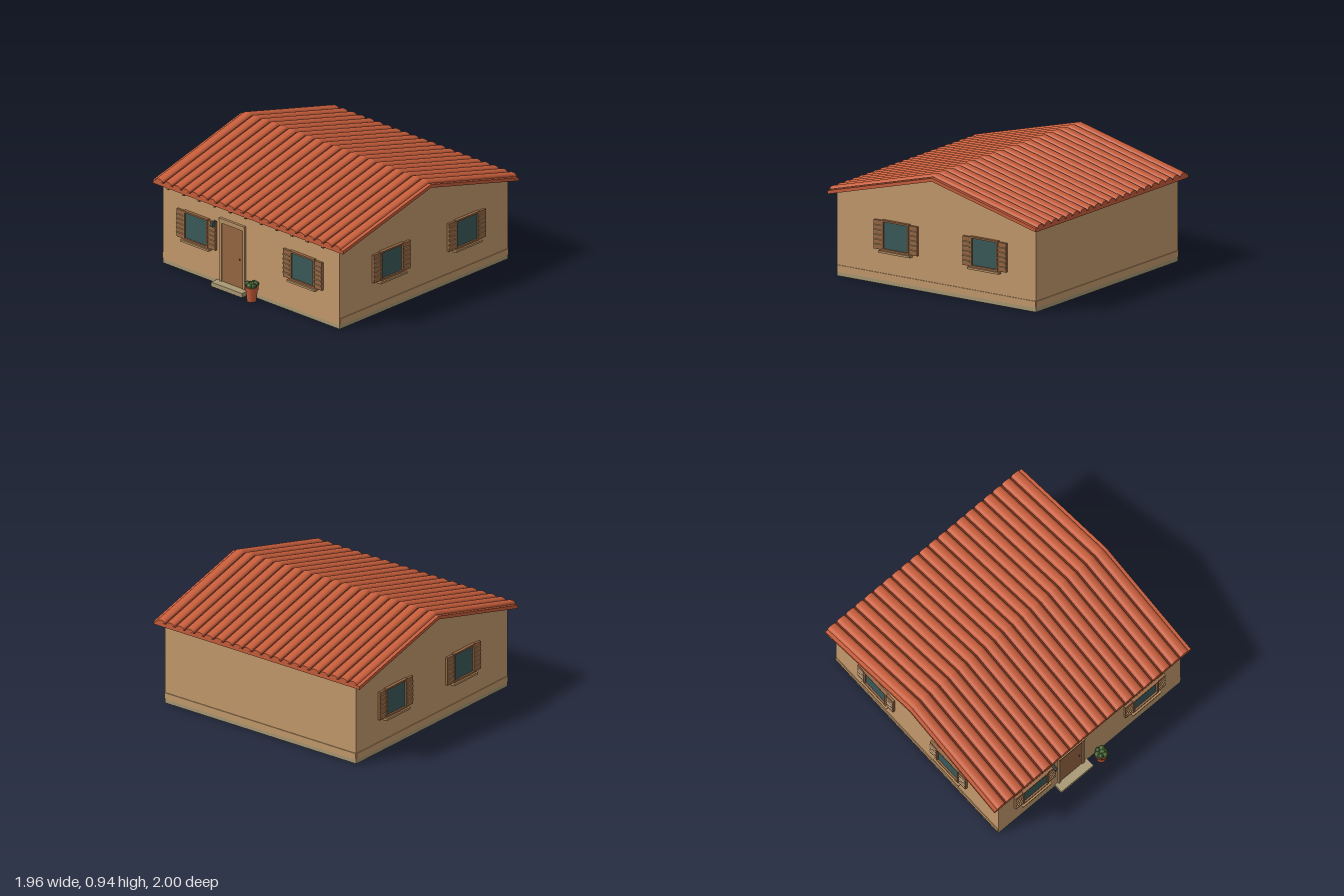
import * as THREE from 'three';
import { toCreasedNormals } from 'three/addons/utils/BufferGeometryUtils.js';

const mat = (name, color) => {
  const m = new THREE.MeshStandardMaterial({ color });
  m.name = name;
  return m;
};

export function createModel() {
  const wall = mat('stucco', 0xc49a6c);
  const stone = mat('stone', 0xa89874);
  const tile = mat('terracotta', 0xc65d3b);
  const darkTile = mat('tile shadow gap', 0x6b2e1c);
  const wood = mat('wood', 0x966642);
  const trim = mat('light wood', 0xb58d62);
  const glass = mat('glass', 0x3a5a5a);
  const metal = mat('metal', 0x4a4a46);
  const leaf = mat('leaf', 0x4a6b35);
  const darkLeaf = mat('dark leaf', 0x36522a);

  const model = new THREE.Group();
  model.name = 'house';

  const add = (parent, name, geo, material, x = 0, y = 0, z = 0) => {
    const m = new THREE.Mesh(geo, material);
    m.name = name;
    m.position.set(x, y, z);
    parent.add(m);
    return m;
  };
  // box given by its limits
  const box = (parent, name, material, x0, x1, y0, y1, z0, z1) =>
    add(parent, name, new THREE.BoxGeometry(x1 - x0, y1 - y0, z1 - z0), material,
      (x0 + x1) / 2, (y0 + y1) / 2, (z0 + z1) / 2);
  // outline of [z, y] points extruded along x, centred
  const extrudeX = (points, width) => {
    const shape = new THREE.Shape(points.map(([z, y]) => new THREE.Vector2(-z, y)));
    const geo = new THREE.ExtrudeGeometry(shape, { depth: width, bevelEnabled: false });
    geo.translate(0, 0, -width / 2);
    return geo.rotateY(Math.PI / 2);
  };

  const front = 0.88, back = -0.95, side = 0.91, ridgeZ = -0.04, slope = 0.255, run = 0.957;

  // Walls, plinth and the low band around sides and back
  add(model, 'walls', extrudeX([[front, 0.03], [front, 0.655], [ridgeZ, 0.895], [back, 0.655], [back, 0.03]], side * 2), wall);
  box(model, 'plinth', stone, -side, side, 0, 0.03, back, front);
  for (const s of [-1, 1]) box(model, 'sideBand', wall, s * side - 0.006, s * side + 0.006, 0.04, 0.085, back, front - 0.002);
  box(model, 'backBand', wall, -side, side, 0.04, 0.085, back - 0.006, back);

  // Roof deck with a terracotta edge
  const eave = 0.885 - slope * run;
  add(model, 'roofDeck', extrudeX([
    [ridgeZ + run, eave], [ridgeZ + run, eave + 0.027], [ridgeZ, 0.912],
    [ridgeZ - run, eave + 0.027], [ridgeZ - run, eave], [ridgeZ, 0.885],
  ], 1.96), tile);

  // Barrel tiles: an arched section drawn down the slope
  const pitch = 0.0915, count = 21;
  const drawDownSlope = (shape, length) => {
    const geo = new THREE.ExtrudeGeometry(shape, { depth: length, bevelEnabled: false, curveSegments: 10 });
    const p = geo.attributes.position;
    for (let i = 0; i < p.count; i++) p.setY(i, p.getY(i) - slope * p.getZ(i));
    geo.computeVertexNormals();
    return toCreasedNormals(geo, 0.6);
  };
  const arch = new THREE.Shape();
  arch.moveTo(0.039, -0.004);
  arch.absellipse(0, 0.004, 0.039, 0.021, 0, Math.PI, false, 0);
  arch.lineTo(-0.039, -0.004);
  const gap = new THREE.Shape([[-0.007, -0.002], [0.007, -0.002], [0.007, 0.002], [-0.007, 0.002]]
    .map(([x, y]) => new THREE.Vector2(x, y)));
  const barrelGeo = drawDownSlope(arch, run + 0.002);
  const gapGeo = drawDownSlope(gap, run);
  for (const turn of [0, Math.PI]) {
    const half = new THREE.Group();
    half.name = turn ? 'backRoofTiles' : 'frontRoofTiles';
    half.position.set(0, 0.912, ridgeZ);
    half.rotation.y = turn;
    for (let i = 0; i < count; i++) {
      const x = (i - (count - 1) / 2) * pitch;
      add(half, 'barrelTile', barrelGeo, tile, x);
      if (i < count - 1) add(half, 'tileGap', gapGeo, darkTile, x + pitch / 2);
    }
    model.add(half);
  }

  // Rafter tails under the front eave
  for (let i = 0; i < 11; i++) {
    const x = -0.835 + i * 0.1597;
    box(model, 'rafterTail', wood, x - 0.01, x + 0.01, 0.627, 0.65, front - 0.01, front + 0.033);
  }

  // Shuttered window, facing +z with its wall plane at z = 0
  const makeWindow = (x, z, turn) => {
    const w = new THREE.Group();
    w.name = 'window';
    w.position.set(x, 0, z);
    w.rotation.y = turn;
    for (const s of [-1, 1]) {
      box(w, 'frameSide', wood, s * 0.119 - 0.007, s * 0.119 + 0.007, 0.267, 0.502, -0.005, 0.025);
      box(w, 'shutter', wood, s * 0.163 - 0.037, s * 0.163 + 0.037, 0.27, 0.495, -0.005, 0.02);
      for (let i = 0; i < 5; i++) {
        const slat = box(w, 'shutterSlat', trim, s * 0.163 - 0.034, s * 0.163 + 0.034,
          0.299 + i * 0.037, 0.311 + i * 0.037, 0.012, 0.026);
        slat.rotation.x = 0.35;
      }
    }
    box(w, 'frameTop', wood, -0.126, 0.126, 0.489, 0.502, -0.005, 0.026);
    box(w, 'frameBottom', wood, -0.126, 0.126, 0.265, 0.28, -0.005, 0.026);
    box(w, 'glass', glass, -0.113, 0.113, 0.279, 0.49, 0.004, 0.012);
    box(w, 'sill', trim, -0.143, 0.143, 0.25, 0.266, -0.005, 0.04);
    model.add(w);
  };
  makeWindow(-0.553, front, 0);
  makeWindow(0.543, front, 0);
  for (const s of [-1, 1]) for (const z of [0.33, -0.487]) makeWindow(s * side, z, s * Math.PI / 2);

  // Door with stepped trim, knob and doorstep
  const door = new THREE.Group();
  door.name = 'door';
  door.position.set(-0.187, 0, front);
  model.add(door);
  box(door, 'doorLeaf', wood, -0.108, 0.108, 0.035, 0.512, -0.005, 0.006);
  for (const s of [-1, 1]) {
    box(door, 'doorJamb', trim, s * 0.119 - 0.011, s * 0.119 + 0.011, 0.035, 0.53, -0.005, 0.014);
  }
  box(door, 'doorLintel', trim, -0.13, 0.13, 0.51, 0.533, -0.005, 0.014);
  box(door, 'doorCornice', trim, -0.13, 0.13, 0.533, 0.55, -0.005, 0.02);
  add(door, 'knob', new THREE.SphereGeometry(0.006, 10, 8), metal, 0.077, 0.265, 0.011);
  box(model, 'doorstep', stone, -0.345, -0.027, 0, 0.035, front - 0.01, 0.955);

  // Wall lamp beside the door
  const lamp = new THREE.Group();
  lamp.name = 'wallLamp';
  lamp.position.set(-0.368, 0.485, front);
  model.add(lamp);
  box(lamp, 'lampPlate', metal, -0.012, 0.012, -0.01, 0.02, 0, 0.012);
  box(lamp, 'lampArm', metal, -0.004, 0.004, 0.012, 0.02, 0.01, 0.034);
  box(lamp, 'lampGlass', glass, -0.011, 0.011, -0.02, 0.018, 0.022, 0.044);
  add(lamp, 'lampCap', new THREE.ConeGeometry(0.02, 0.014, 4).rotateY(Math.PI / 4), metal, 0, 0.025, 0.033);

  // Potted plant
  const plant = new THREE.Group();
  plant.name = 'pottedPlant';
  plant.position.set(0.063, 0, 0.943);
  model.add(plant);
  add(plant, 'pot', new THREE.CylinderGeometry(0.046, 0.036, 0.095, 14), tile, 0, 0.0475, 0);
  add(plant, 'potRim', new THREE.CylinderGeometry(0.053, 0.051, 0.026, 14), tile, 0, 0.106, 0);
  const leafGeo = toCreasedNormals(new THREE.IcosahedronGeometry(0.024, 1), 0.1);
  add(plant, 'foliage', leafGeo, leaf, 0.008, 0.137, 0.004);
  for (let i = 0; i < 6; i++) {
    const a = i * Math.PI / 3 + 0.3;
    add(plant, 'foliage', leafGeo, i % 2 ? leaf : darkLeaf,
      Math.cos(a) * 0.031, 0.126 + (i % 3) * 0.006, Math.sin(a) * 0.031).rotation.y = i;
  }

  return model;
}
